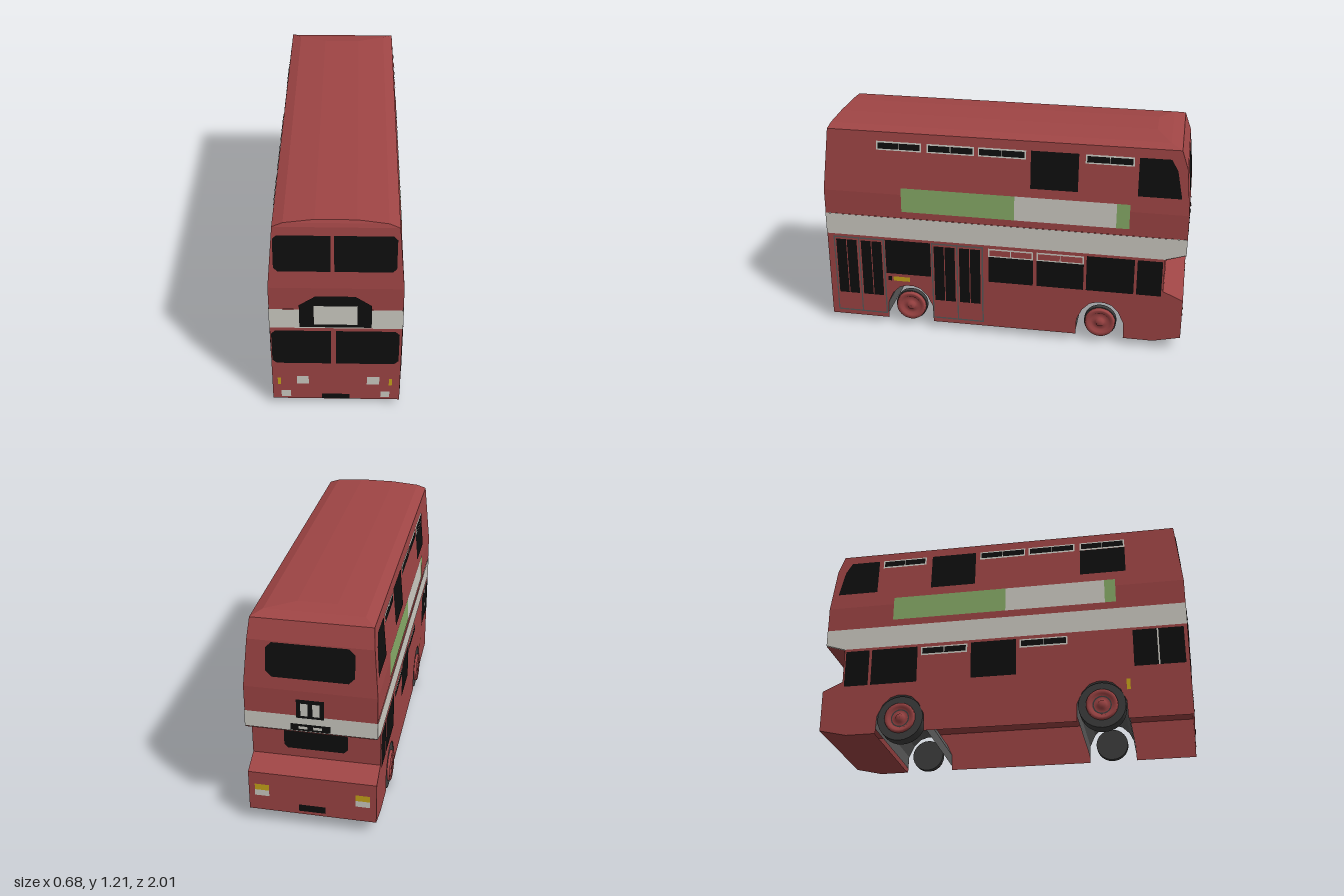
import * as THREE from 'three';

const mat = (name, color) => {
  const m = new THREE.MeshStandardMaterial({ color, side: THREE.DoubleSide });
  m.name = name;
  return m;
};

const W = 0.333; // half width of the lower deck

export function createModel() {
  const bus = new THREE.Group();
  bus.name = 'doubleDeckBus';
  const red = mat('red paint', 0x9f4545);
  const cream = mat('cream', 0xcfcdc5);
  const black = mat('dark glass', 0x0e0e0e);
  const green = mat('green', 0x88ac68);
  const yellow = mat('amber', 0xcaa61a);
  const grey = mat('grey metal', 0x5a5a5a);
  const rubber = mat('tyre rubber', 0x3e3e3e);

  const add = (name, geo, material, parent = bus) => {
    const m = new THREE.Mesh(geo, material);
    m.name = name;
    parent.add(m);
    return m;
  };

  // flat-shaded surface made of quads
  const quadGeo = quads => {
    const pos = [];
    for (const [a, b, c, d] of quads) pos.push(...a, ...b, ...c, ...a, ...c, ...d);
    const g = new THREE.BufferGeometry();
    g.setAttribute('position', new THREE.Float32BufferAttribute(pos, 3));
    g.computeVertexNormals();
    return g;
  };

  // stacked rectangles: [y, halfWidth, zFront, zRear]
  const loft = (rings, capped) => {
    const r = rings.map(([y, w, f, b]) => [[-w, y, f], [w, y, f], [w, y, b], [-w, y, b]]);
    const quads = [];
    for (let i = 0; i + 1 < r.length; i++)
      for (let k = 0; k < 4; k++) {
        const n = (k + 1) % 4;
        quads.push([r[i][k], r[i][n], r[i + 1][n], r[i + 1][k]]);
      }
    if (capped) quads.push(r[r.length - 1]);
    return quadGeo(quads);
  };

  // sheet across the full width following (z, y) points
  const sheet = pts => quadGeo(pts.slice(1).map(([z1, y1], i) => {
    const [z0, y0] = pts[i];
    return [[-W, y0, z0], [W, y0, z0], [W, y1, z1], [-W, y1, z1]];
  }));

  // body surface position at height y
  const lerp = THREE.MathUtils.lerp;
  const rise = y => THREE.MathUtils.clamp((y - 0.82) / 0.35, 0, 1);
  const halfW = y => lerp(W, 0.303, rise(y));
  const frontZ = y => lerp(1, 0.965, rise(y));
  const rearZ = y => (y > 0.36 && y < 0.555 ? -0.89 : y > 0.82 ? -1 + (y - 0.82) * 0.1 : -1);
  const place = {
    left: (u, y, o) => [halfW(y) + o, y, u],
    right: (u, y, o) => [-halfW(y) - o, y, u],
    front: (u, y, o) => [u, y, frontZ(y) + o],
    back: (u, y, o) => [u, y, rearZ(y) - o],
  };

  // thin polygon laid on one side; points are (z or x, y)
  const poly = (name, side, pts, material, o = 0.003) => {
    const s = side === 'left' || side === 'back' ? -1 : 1;
    const g = new THREE.ShapeGeometry(new THREE.Shape(pts.map(([u, y]) => new THREE.Vector2(u * s, y))));
    const p = g.attributes.position;
    for (let i = 0; i < p.count; i++) p.setXYZ(i, ...place[side](p.getX(i) * s, p.getY(i), o));
    g.computeVertexNormals();
    return add(name, g, material);
  };
  const rect = (name, side, a, b, y0, y1, material, o) =>
    poly(name, side, [[a, y0], [b, y0], [b, y1], [a, y1]], material, o);
  // rectangle with cut corners at the a end (ca) and b end (cb)
  const pane = (name, side, a, b, y0, y1, ca, cb) =>
    poly(name, side, [[a + ca, y0], [b - cb, y0], [b, y0 + cb], [b, y1 - cb],
      [b - cb, y1], [a + ca, y1], [a, y1 - ca], [a, y0 + ca]], black);
  // framed opening window with two panes
  const vent = (side, a, b, y0, y1, fill) => {
    rect('ventFrame', side, a, b, y0, y1, cream, 0.004);
    const c = (a + b) / 2, t = 0.008;
    rect('ventPane', side, a + t, c - 0.002, y0 + t, y1 - t, fill, 0.006);
    rect('ventPane', side, c + 0.002, b - t, y0 + t, y1 - t, fill, 0.006);
  };

  // upper deck, roof and waist band
  add('upperDeck', loft([[0.68, W, 1, -1], [0.82, W, 1, -1], [1.07, halfW(1.07), frontZ(1.07), -0.975],
    [1.17, 0.303, 0.965, -0.94]]), red);
  add('roof', loft([[1.17, 0.303, 0.965, -0.94], [1.19, 0.25, 0.958, -0.88], [1.205, 0.1, 0.95, -0.8]], true), red);
  add('waistBand', loft([[0.555, W + 0.002, 1.001, -0.89], [0.59, W + 0.002, 1.001, -1],
    [0.68, W + 0.002, 1.001, -1]]), cream);

  // lower deck: side walls with wheel arches, open underneath
  const arch = (c, y0) => [[0.133, y0], [0.13, 0.14], [0.1, 0.205], [0.06, 0.245], [0.02, 0.258],
    [-0.02, 0.258], [-0.06, 0.245], [-0.1, 0.205], [-0.13, 0.14], [-0.133, y0]].map(([z, y]) => [c + z, y]);
  const axles = [0.532, -0.553];
  const wall = [[1, 0.56], [1, 0.04], ...arch(axles[0], 0.04), ...arch(axles[1], 0.045),
    [-0.85, 0.045], [-1, 0.08], [-1, 0.31], [-0.89, 0.36], [-0.89, 0.56]];
  for (const side of ['left', 'right']) poly(side + 'LowerWall', side, wall, red, 0);
  add('frontWall', sheet([[1, 0.04], [1, 0.56]]), red);
  add('rearWall', sheet([[-1, 0.586], [-0.892, 0.552], [-0.89, 0.36], [-1, 0.31], [-1, 0.08],
    [-0.85, 0.045], [-0.69, 0.045]]), red);
  add('underfloor', sheet([[-0.89, 0.27], [1, 0.27]]), red);
  for (const z of axles) add('wheelTunnel', sheet(arch(z, 0.07)), grey);

  // wheels: broad tyres on the right, narrow ones on the left
  const hubProfile = [[0, 0.02], [0.02, 0.02], [0.025, 0.008], [0.05, 0.004], [0.06, 0.016],
    [0.07, 0.012], [0.083, 0.02], [0.085, 0]].map(p => new THREE.Vector2(...p)).reverse();
  for (const z of axles) for (const s of [1, -1]) {
    const wheel = new THREE.Group();
    wheel.name = 'wheel';
    wheel.position.set(s * 0.295, 0.125, z);
    wheel.rotation.z = -s * Math.PI / 2;
    add('tyre', new THREE.CylinderGeometry(s > 0 ? 0.09 : 0.125, s > 0 ? 0.09 : 0.125, s > 0 ? 0.03 : 0.07, 28), rubber, wheel);
    add('hub', new THREE.LatheGeometry(hubProfile, 24), red, wheel).position.y = s > 0 ? 0.015 : 0.03;
    bus.add(wheel);
  }

  // front
  pane('upperWindscreen', 'front', -0.302, -0.025, 0.92, 1.125, 0.02, 0);
  pane('upperWindscreen', 'front', -0.008, 0.293, 0.92, 1.125, 0, 0.02);
  pane('windscreen', 'front', -0.327, -0.025, 0.307, 0.537, 0.022, 0);
  pane('windscreen', 'front', 0, 0.32, 0.307, 0.537, 0, 0.022);
  poly('destinationSurround', 'front', [[-0.183, 0.565], [0.178, 0.565], [0.178, 0.712], [0.095, 0.772],
    [-0.1, 0.772], [-0.183, 0.712]], black, 0.005);
  rect('destinationBlind', 'front', -0.11, 0.107, 0.587, 0.71, cream, 0.008);
  for (const [a, b, y0, y1] of [[-0.205, -0.143, 0.155, 0.21], [0.16, 0.225, 0.155, 0.21],
    [-0.288, -0.238, 0.058, 0.102], [0.233, 0.28, 0.058, 0.102]]) rect('headlamp', 'front', a, b, y0, y1, cream);
  for (const a of [-0.305, 0.275]) rect('indicator', 'front', a, a + 0.016, 0.147, 0.197, yellow);
  rect('frontPlate', 'front', -0.075, 0.07, 0.045, 0.08, black);

  // back
  pane('upperRearWindow', 'back', -0.22, 0.22, 0.885, 1.065, 0.03, 0.03);
  pane('lowerRearWindow', 'back', -0.165, 0.165, 0.41, 0.53, 0.02, 0.02);
  rect('routeBox', 'back', -0.07, 0.07, 0.67, 0.775, black, 0.004);
  for (const a of [-0.048, 0.012]) rect('routeBlind', 'back', a, a + 0.036, 0.685, 0.755, cream, 0.007);
  rect('plateLampBar', 'back', -0.1, 0.1, 0.597, 0.635, black, 0.004);
  for (const a of [-0.06, 0.015]) rect('plateLamp', 'back', a, a + 0.045, 0.609, 0.624, cream, 0.007);
  for (const a of [-0.3, 0.225]) {
    rect('rearIndicator', 'back', a, a + 0.075, 0.205, 0.24, yellow);
    rect('reversingLamp', 'back', a, a + 0.075, 0.17, 0.205, cream);
  }
  rect('rearPlate', 'back', -0.07, 0.07, 0.1, 0.14, black);

  // upper windows on both sides
  for (const side of ['left', 'right']) {
    rect('upperWindow', side, -0.41, -0.155, 0.91, 1.12, black);
    poly('upperQuarterWindow', side, [[-0.725, 0.91], [-0.955, 0.91], [-0.925, 1.06], [-0.89, 1.12], [-0.725, 1.12]], black);
    for (const [a, b] of [[0.44, 0.69], [0.15, 0.41], [-0.13, 0.13], [-0.7, -0.445]]) vent(side, a, b, 1.07, 1.12, black);
    rect('lowerWindow', side, -0.73, -0.47, 0.33, 0.54, black);
    rect('lowerQuarterWindow', side, -0.88, -0.745, 0.33, 0.54, black);
  }
  rect('upperWindow', 'right', 0.44, 0.69, 0.91, 1.07, black);

  // side advert panels: [start, end, colour]
  for (const [side, a, b, m] of [['left', -0.07, 0.56, green], ['left', -0.62, -0.07, cream], ['left', -0.69, -0.62, green],
    ['right', -0.62, 0.02, green], ['right', 0.02, 0.57, cream], ['right', 0.57, 0.63, green]])
    rect('advertPanel', side, a, b, 0.72, 0.86, m);

  // left side: doors, windows and marker lamp
  for (const z of [0.67, 0.105]) {
    rect('doorFrame', 'left', z, z + 0.295, 0.065, 0.542, grey, 0.002);
    for (const d of [0.008, 0.151]) rect('doorLeaf', 'left', z + d, z + d + 0.136, 0.075, 0.534, red, 0.004);
    for (const d of [0.016, 0.078, 0.16, 0.222]) rect('doorGlass', 'left', z + d, z + d + 0.057, 0.185, 0.525, black, 0.006);
  }
  rect('lowerWindow', 'left', 0.405, 0.665, 0.33, 0.54, black);
  for (const [a, b] of [[-0.175, 0.075], [-0.455, -0.195]]) {
    rect('lowerWindow', 'left', a, b, 0.33, 0.49, black);
    vent('left', a, b, 0.487, 0.537, red);
  }
  rect('sideLamp', 'left', 0.53, 0.625, 0.285, 0.312, yellow);
  rect('sideLampEnd', 'left', 0.635, 0.655, 0.285, 0.312, black);

  // right side: cab window, windows and marker lamp
  rect('cabWindow', 'right', 0.71, 0.838, 0.33, 0.54, black);
  rect('cabWindow', 'right', 0.846, 0.98, 0.33, 0.54, black);
  rect('cabWindowPillar', 'right', 0.838, 0.846, 0.33, 0.54, cream);
  rect('lowerWindow', 'right', -0.17, 0.08, 0.33, 0.54, black);
  for (const [a, b] of [[-0.45, -0.19], [0.1, 0.36]]) vent('right', a, b, 0.485, 0.535, black);
  rect('sideIndicator', 'right', 0.665, 0.685, 0.2, 0.26, yellow);

  return bus;
}
